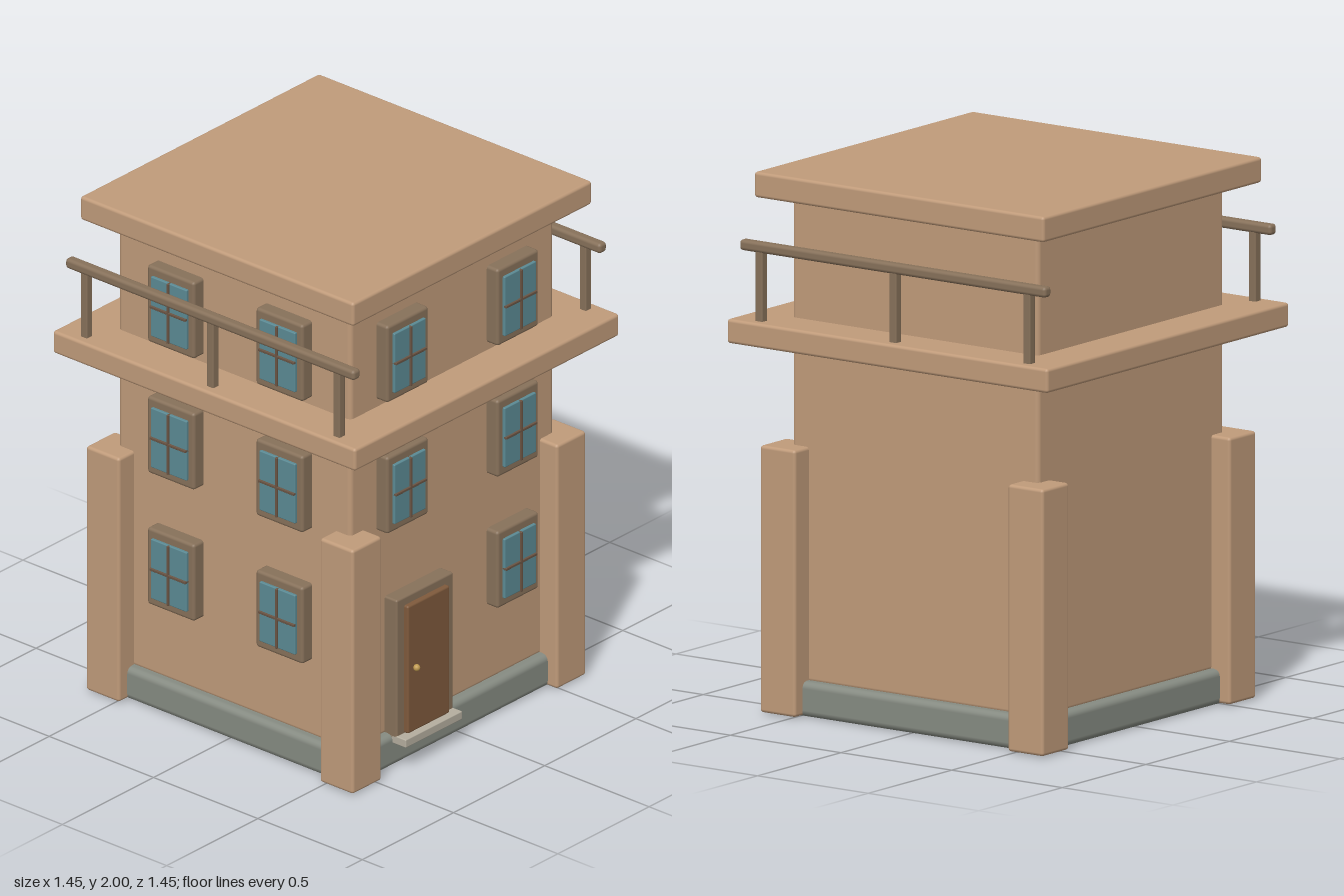
import * as THREE from 'three';
import { RoundedBoxGeometry } from 'three/addons/geometries/RoundedBoxGeometry.js';

const paint = (color) => new THREE.MeshStandardMaterial({ color });
const MAT = {
  wall: paint(0xc09b7a), stone: paint(0x868b82), step: paint(0xb5ae9f), trim: paint(0x87715a),
  glass: paint(0x5b8a94), door: paint(0x7f5a3c), bar: paint(0x6b5443), brass: paint(0xc09a50),
};

// Box given by its min and max corners, edges softened by a small radius
function block(parent, name, mat, [x0, y0, z0], [x1, y1, z1], radius = 0.012) {
  const geo = new RoundedBoxGeometry(x1 - x0, y1 - y0, z1 - z0, 2, radius);
  const mesh = new THREE.Mesh(geo, mat);
  mesh.position.set((x0 + x1) / 2, (y0 + y1) / 2, (z0 + z1) / 2);
  mesh.name = name;
  parent.add(mesh);
  return mesh;
}

// Square slab centred on the vertical axis
const slab = (parent, name, mat, half, y0, y1, radius) =>
  block(parent, name, mat, [-half, y0, -half], [half, y1, half], radius);

// Window facing +z; z = 0 is the middle of the house
function makeWindow(x, y) {
  const win = new THREE.Group();
  win.name = 'window';
  block(win, 'windowFrame', MAT.trim, [-0.113, -0.155, 0.54], [0.113, 0.155, 0.61]);
  block(win, 'windowGlass', MAT.glass, [-0.086, -0.12, 0.58], [0.086, 0.12, 0.621], 0.004);
  block(win, 'uprightBar', MAT.bar, [-0.005, -0.12, 0.6], [0.005, 0.12, 0.628], 0.002);
  block(win, 'crossBar', MAT.bar, [-0.086, -0.005, 0.6], [0.086, 0.005, 0.628], 0.002);
  win.position.set(x, y, 0);
  return win;
}

export function createModel() {
  const house = new THREE.Group();
  house.name = 'house';

  // Main masses
  slab(house, 'foundation', MAT.stone, 0.595, 0, 0.13, 0.025);
  slab(house, 'walls', MAT.wall, 0.557, 0.12, 1.905, 0.018);
  slab(house, 'balconySlab', MAT.wall, 0.725, 1.37, 1.46);
  slab(house, 'roofSlab', MAT.wall, 0.655, 1.905, 2);

  // Corner pillars and side railings
  for (const sx of [-1, 1]) {
    for (const sz of [-1, 1]) {
      const pillar = block(house, 'cornerPillar', MAT.wall, [-0.08, 0.005, -0.08], [0.08, 0.99, 0.08]);
      pillar.position.x = sx * 0.56;
      pillar.position.z = sz * 0.56;
    }
    const railing = new THREE.Group();
    railing.name = 'railing';
    block(railing, 'handrail', MAT.trim, [-0.02, 1.712, -0.692], [0.02, 1.752, 0.692], 0.013);
    for (const z of [-0.605, 0, 0.605]) {
      block(railing, 'railingPost', MAT.trim, [-0.016, 1.45, z - 0.016], [0.016, 1.725, z + 0.016], 0.005);
    }
    railing.position.x = sx * 0.675;
    house.add(railing);
  }

  // Front windows: the door takes the place of the lower one
  const rows = [0.585, 1.115, 1.645];
  const frontWindows = new THREE.Group();
  frontWindows.name = 'frontWindows';
  const sideWindows = new THREE.Group();
  sideWindows.name = 'sideWindows';
  rows.forEach((y, i) => {
    for (const s of [-1, 1]) {
      if (i > 0 || s > 0) frontWindows.add(makeWindow(s * 0.302, y));
      sideWindows.add(makeWindow(s * 0.26, y));
    }
  });
  sideWindows.rotation.y = -Math.PI / 2;
  house.add(frontWindows, sideWindows);

  // Entrance
  const entrance = new THREE.Group();
  entrance.name = 'entrance';
  block(entrance, 'doorFrame', MAT.trim, [-0.37, 0.1, 0.54], [-0.06, 0.678, 0.615], 0.008);
  block(entrance, 'door', MAT.door, [-0.33, 0.13, 0.58], [-0.1, 0.645, 0.634], 0.008);
  block(entrance, 'doorStep', MAT.step, [-0.37, 0.097, 0.54], [-0.06, 0.13, 0.658], 0.004);
  const knob = new THREE.Mesh(new THREE.SphereGeometry(0.013, 16, 12), MAT.brass);
  knob.name = 'doorKnob';
  knob.position.set(-0.292, 0.388, 0.642);
  entrance.add(knob);
  house.add(entrance);

  return house;
}
